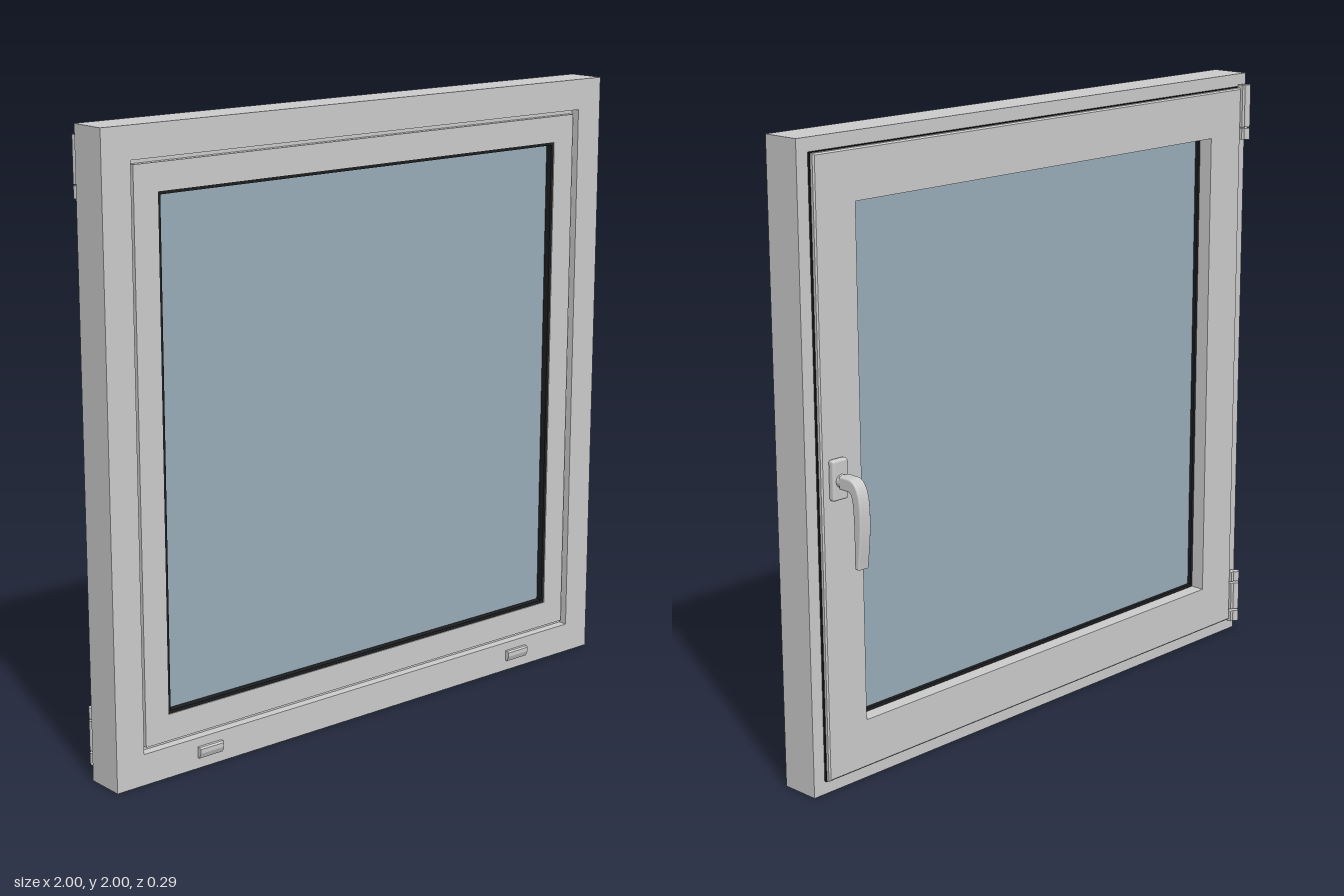
import * as THREE from 'three';
import { RoundedBoxGeometry } from 'three/addons/geometries/RoundedBoxGeometry.js';

const CENTRE_Y = 1;

export function createModel() {
  const model = new THREE.Group();
  model.name = 'window';

  const grey = new THREE.MeshStandardMaterial({ color: 0xcccccc, flatShading: true });
  const metal = new THREE.MeshStandardMaterial({ color: 0xcccccc });
  const rubber = new THREE.MeshStandardMaterial({ color: 0x1c1e20, flatShading: true });
  const glassBlue = new THREE.MeshStandardMaterial({ color: 0x99adba });

  function add(name, geometry, material, x = 0, y = 0, z = 0, parent = model) {
    const mesh = new THREE.Mesh(geometry, material);
    mesh.name = name;
    mesh.position.set(x, y, z);
    parent.add(mesh);
    return mesh;
  }

  // Mitred square ring: a closed [half size, z] section swept round four sides
  function ring(name, section, material) {
    const points = [...section, section[0]].map(([h, z]) => new THREE.Vector2(h * Math.SQRT2, z));
    const geometry = new THREE.LatheGeometry(points, 4);
    geometry.rotateY(Math.PI / 4);
    geometry.rotateX(Math.PI / 2);
    return add(name, geometry, material, 0, CENTRE_Y, 0);
  }
  const rect = (inner, outer, back, front) => [[outer, back], [outer, front], [inner, front], [inner, back]];

  // Fixed frame with a rebate behind the front lip
  ring('outerFrame', [
    [1, 0], [1, 0.13], [0.9, 0.13], [0.9, 0.1], [0.88, 0.1], [0.88, 0.07], [0.93, 0.07], [0.93, 0],
  ], grey);

  // Opening sash whose back flange overlaps the frame
  ring('sash', [
    [0.95, -0.02], [0.955, -0.016], [0.955, -0.006], [0.92, -0.006], [0.92, 0.065],
    [0.885, 0.065], [0.885, 0.12], [0.8, 0.12], [0.8, -0.02],
  ], grey);

  // Rubber seals and the pane
  ring('sashSeal', rect(0.91, 0.958, -0.007, 0.001), rubber);
  ring('frontGlassSeal', rect(0.79, 0.801, 0.094, 0.117), rubber);
  ring('backGlassSeal', rect(0.79, 0.801, 0.028, 0.042), rubber);
  add('glassPane', new THREE.BoxGeometry(1.6, 1.6, 0.055), glassBlue, 0, CENTRE_Y, 0.0675);

  // Drain caps: small sloping hoods on the bottom rail
  const hood = new THREE.Shape([
    [0, 0.035], [0.008, 0.035], [0.015, 0.052], [0.015, 0.066], [0.01, 0.071], [0, 0.071],
  ].map(([z, y]) => new THREE.Vector2(z, y)));
  for (const side of [-1, 1]) {
    const geometry = new THREE.ExtrudeGeometry(hood, { depth: 0.09, bevelEnabled: false });
    geometry.translate(0, 0, -0.045);
    geometry.rotateY(-Math.PI / 2);
    add('drainCap', geometry, grey, 0.655 * side, 0, 0.13);
  }

  // Hinges: knuckle segments with leaves reaching the sash
  function hinge(name, segments) {
    const group = new THREE.Group();
    group.name = name;
    model.add(group);
    for (const [low, high] of segments) {
      const length = high - low;
      const y = (low + high) / 2;
      add('hingeKnuckle', new THREE.CylinderGeometry(0.0125, 0.0125, length, 20), metal, -0.977, y, -0.026, group);
      add('hingeLeaf', new THREE.BoxGeometry(0.025, length, 0.02), grey, -0.9645, y, -0.018, group);
    }
  }
  hinge('upperHinge', [[1.78, 1.818], [1.822, 1.965]]);
  hinge('lowerHinge', [[0.04, 0.078], [0.086, 0.183], [0.19, 0.226]]);

  // Handle: rosette, round neck and a tapering curved lever
  const handle = new THREE.Group();
  handle.name = 'handle';
  handle.position.x = 0.9;
  model.add(handle);
  add('handleRosette', new RoundedBoxGeometry(0.06, 0.125, 0.024, 3, 0.008), metal, 0, 0.9925, -0.031, handle);
  const neck = new THREE.CylinderGeometry(0.02, 0.02, 0.05, 24);
  neck.rotateX(Math.PI / 2);
  add('handleNeck', neck, metal, 0, 0.99, -0.06, handle);

  // Lever side outline, drawn with distance behind the sash as x
  const bevel = 0.005;
  const lever = new THREE.Shape();
  lever.moveTo(0.06, 1.005);
  lever.lineTo(0.095, 1.005);
  lever.bezierCurveTo(0.125, 1.004, 0.141, 0.97, 0.141, 0.9);
  lever.bezierCurveTo(0.141, 0.83, 0.134, 0.79, 0.128, 0.743);
  lever.lineTo(0.121, 0.743);
  lever.bezierCurveTo(0.121, 0.82, 0.123, 0.87, 0.118, 0.93);
  lever.bezierCurveTo(0.114, 0.965, 0.106, 0.975, 0.09, 0.975);
  lever.lineTo(0.06, 0.975);
  const leverGeometry = new THREE.ExtrudeGeometry(lever, {
    depth: 0.032, bevelThickness: bevel, bevelSize: bevel, bevelSegments: 3, curveSegments: 12,
  });
  leverGeometry.translate(0, 0, -0.016);
  leverGeometry.rotateY(Math.PI / 2);
  add('handleLever', leverGeometry, metal, 0, 0, 0, handle);

  return model;
}
